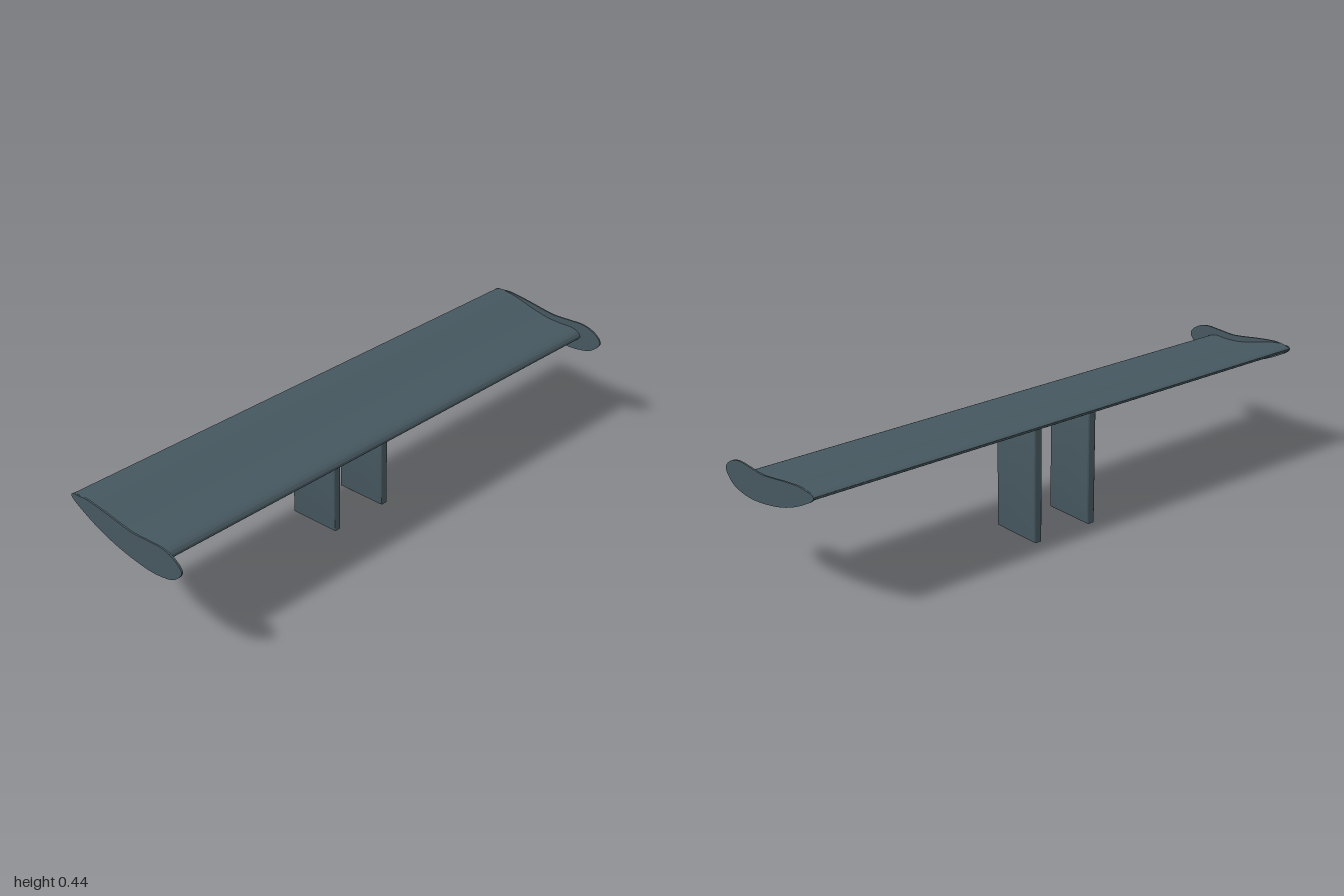
import * as THREE from 'three';
import { toCreasedNormals } from 'three/addons/utils/BufferGeometryUtils.js';

// Smooth closed outline through [z, y] points
function smoothOutline(points) {
  const curve = new THREE.CatmullRomCurve3(
    points.map(([z, y]) => new THREE.Vector3(z, y, 0)), true, 'centripetal');
  return new THREE.Shape(curve.getPoints(96).slice(0, -1).map(p => new THREE.Vector2(p.x, p.y)));
}

// Extrude a side-on (z, y) shape along x, centred on x = 0
function extrudeAcross(shape, width, bevel = 0) {
  const depth = width - 2 * bevel;
  const geometry = new THREE.ExtrudeGeometry(shape, {
    depth, steps: 1, bevelEnabled: bevel > 0, bevelSize: bevel,
    bevelThickness: bevel, bevelOffset: -bevel, bevelSegments: 3,
  });
  geometry.translate(0, 0, -depth / 2);
  geometry.rotateY(-Math.PI / 2);
  return toCreasedNormals(geometry, 0.7);
}

export function createModel() {
  const group = new THREE.Group();
  const slate = new THREE.MeshStandardMaterial({ color: 0x46575f });
  slate.name = 'slate grey';

  function add(name, geometry, x = 0) {
    const mesh = new THREE.Mesh(geometry, slate);
    mesh.name = name;
    mesh.position.x = x;
    group.add(mesh);
  }

  // Wing blade: rounded nose, dished top, upswept tail
  add('wing', extrudeAcross(smoothOutline([
    [0.155, 0.366], [0.146, 0.381], [0.115, 0.391], [0.06, 0.391], [0, 0.396],
    [-0.07, 0.412], [-0.14, 0.431], [-0.19, 0.439], [-0.225, 0.437], [-0.239, 0.43],
    [-0.232, 0.42], [-0.18, 0.397], [-0.1, 0.37], [-0.02, 0.352], [0.06, 0.345],
    [0.115, 0.346], [0.145, 0.353],
  ]), 1.99));

  // End plates, reaching forward of the wing
  const plate = extrudeAcross(smoothOutline([
    [0.242, 0.367], [0.231, 0.386], [0.2, 0.406], [0.16, 0.416], [0.1, 0.415],
    [0.04, 0.413], [0, 0.417], [-0.1, 0.433], [-0.175, 0.441], [-0.21, 0.438],
    [-0.231, 0.437], [-0.24, 0.429], [-0.232, 0.418], [-0.185, 0.39], [-0.12, 0.36],
    [-0.05, 0.337], [0.03, 0.32], [0.1, 0.312], [0.15, 0.314], [0.2, 0.325], [0.23, 0.347],
  ]), 0.006);

  // Support posts, their sloped tops buried in the wing
  const post = extrudeAcross(new THREE.Shape([
    [0.007, 0], [0.007, 0.37], [-0.183, 0.415], [-0.183, 0],
  ].map(([z, y]) => new THREE.Vector2(z, y))), 0.032, 0.006);

  for (const [side, sign] of [['left', 1], ['right', -1]]) {
    add(side + 'EndPlate', plate, sign * 0.997);
    add(side + 'Post', post, sign * 0.115);
  }
  return group;
}
